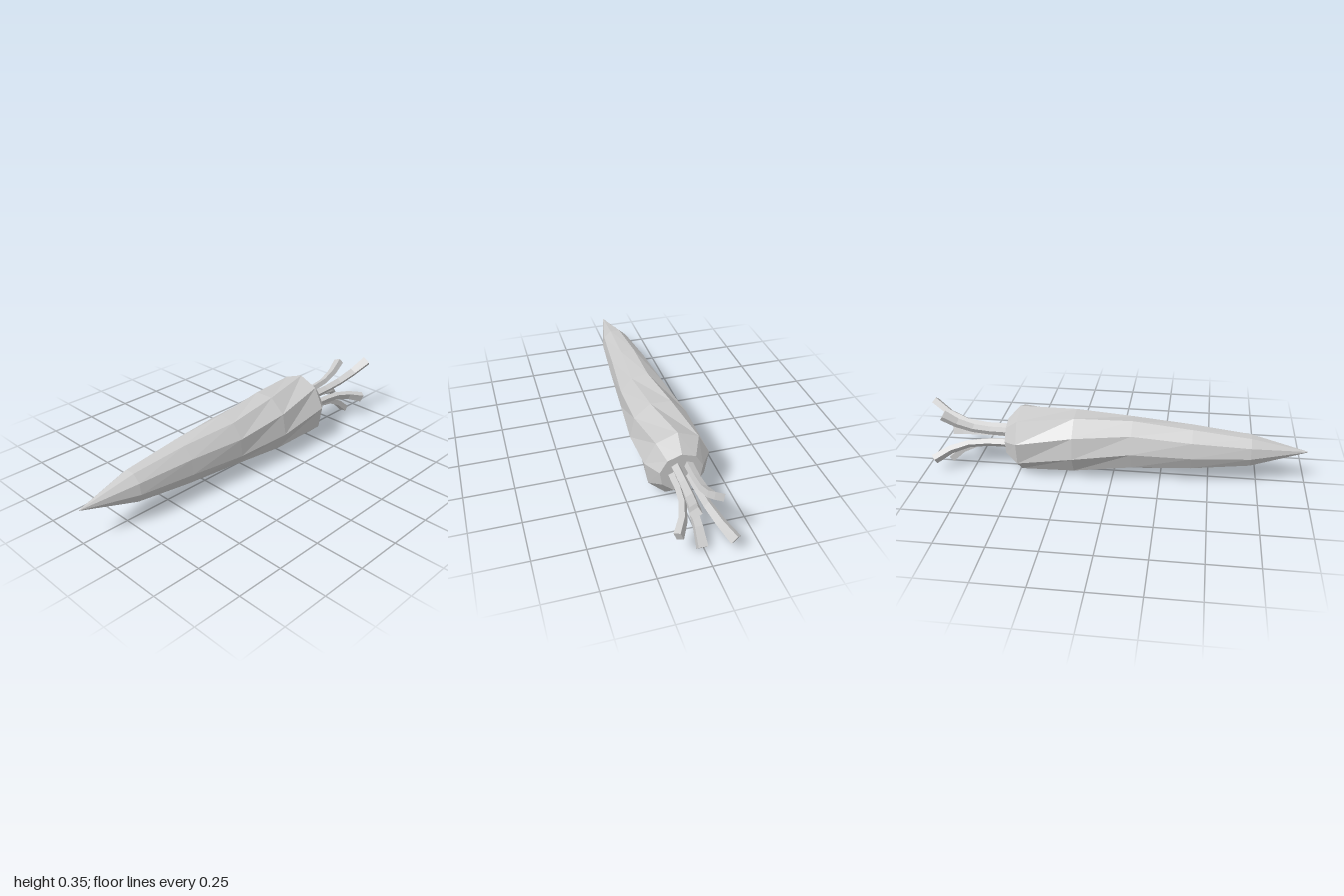
import * as THREE from 'three';

// Skin a list of point rings (running counter-clockwise about the path) and close both ends
function loft(rings) {
  const pos = [];
  const tri = (...p) => p.forEach((v) => pos.push(v.x, v.y, v.z));
  const n = rings[0].length;
  const middle = (ring) => ring.reduce((s, p) => s.add(p), new THREE.Vector3()).divideScalar(n);
  const first = rings[0], last = rings[rings.length - 1];
  const c0 = middle(first), c1 = middle(last);
  for (let j = 0; j < n; j++) {
    const k = (j + 1) % n;
    for (let i = 0; i < rings.length - 1; i++) {
      const a = rings[i], b = rings[i + 1];
      tri(a[j], a[k], b[j]);
      tri(a[k], b[k], b[j]);
    }
    tri(c0, first[k], first[j]);
    tri(c1, last[j], last[k]);
  }
  const g = new THREE.BufferGeometry();
  g.setAttribute('position', new THREE.Float32BufferAttribute(pos, 3));
  g.computeVertexNormals();
  return g;
}

// Nine-sided root: x, centre y, centre z, radius in y, radius in z, twist in degrees
const ROOT = [
  [-1.0, 0.19, 0, 0.002, 0.002, 20],
  [-0.71, 0.183, -0.003, 0.084, 0.076, 20],
  [-0.41, 0.183, -0.005, 0.119, 0.106, 23],
  [-0.1, 0.185, -0.003, 0.142, 0.13, 29],
  [0.2, 0.182, -0.004, 0.167, 0.156, 18],
  [0.49, 0.185, 0, 0.178, 0.163, 0],
  [0.56, 0.182, 0, 0.105, 0.108, 0],
];

function rootGeometry() {
  return loft(ROOT.map(([x, cy, cz, ry, rz, twist]) =>
    Array.from({ length: 9 }, (_, j) => {
      const a = THREE.MathUtils.degToRad(twist + j * 40);
      return new THREE.Vector3(x, cy + ry * Math.cos(a), cz + rz * Math.sin(a));
    })));
}

// Stalks: base (y, z) and tip (x, y, z)
const STALKS = [
  { base: [0.222, 0.028], tip: [0.985, 0.325, 0.085] },
  { base: [0.222, -0.034], tip: [0.9, 0.308, -0.053] },
  { base: [0.16, -0.045], tip: [0.945, 0.08, -0.125] },
  { base: [0.137, 0.008], tip: [0.895, 0.022, 0.01] },
  { base: [0.172, 0.045], tip: [0.905, 0.13, 0.126] },
];

// Four-sided stalk that runs straight, then flares outward
function stalkGeometry({ base: [by, bz], tip: [tx, ty, tz] }) {
  const at = (t, f) => new THREE.Vector3(
    THREE.MathUtils.lerp(0.55, tx, t),
    THREE.MathUtils.lerp(by, ty, f),
    THREE.MathUtils.lerp(bz, tz, f));
  const path = [at(0, 0), at(0.3, 0.02), at(0.56, 0.14), at(0.8, 0.48), at(1, 1)];
  const widths = [0.034, 0.032, 0.034, 0.038, 0.046];
  const thick = [0.03, 0.027, 0.027, 0.03, 0.033];
  const outward = new THREE.Vector3(0, ty - 0.18, tz).normalize();
  return loft(path.map((p, i) => {
    const t = path[Math.min(i + 1, 4)].clone().sub(path[Math.max(i - 1, 0)]).normalize();
    const n = outward.clone().addScaledVector(t, -outward.dot(t)).normalize();
    const s = t.clone().cross(n);
    return [[1, 1], [-1, 1], [-1, -1], [1, -1]].map(([u, v]) =>
      p.clone().addScaledVector(n, u * thick[i] / 2).addScaledVector(s, v * widths[i] / 2));
  }));
}

export function createModel() {
  const grey = new THREE.MeshStandardMaterial({ color: 0xcccccc });
  grey.name = 'light grey';
  grey.flatShading = true;

  const model = new THREE.Group();
  model.name = 'carrot';

  const root = new THREE.Mesh(rootGeometry(), grey);
  root.name = 'root';
  model.add(root);

  const stalks = new THREE.Group();
  stalks.name = 'stalks';
  STALKS.forEach((spec, i) => {
    const stalk = new THREE.Mesh(stalkGeometry(spec), grey);
    stalk.name = `stalk${i + 1}`;
    stalks.add(stalk);
  });
  model.add(stalks);
  return model;
}
